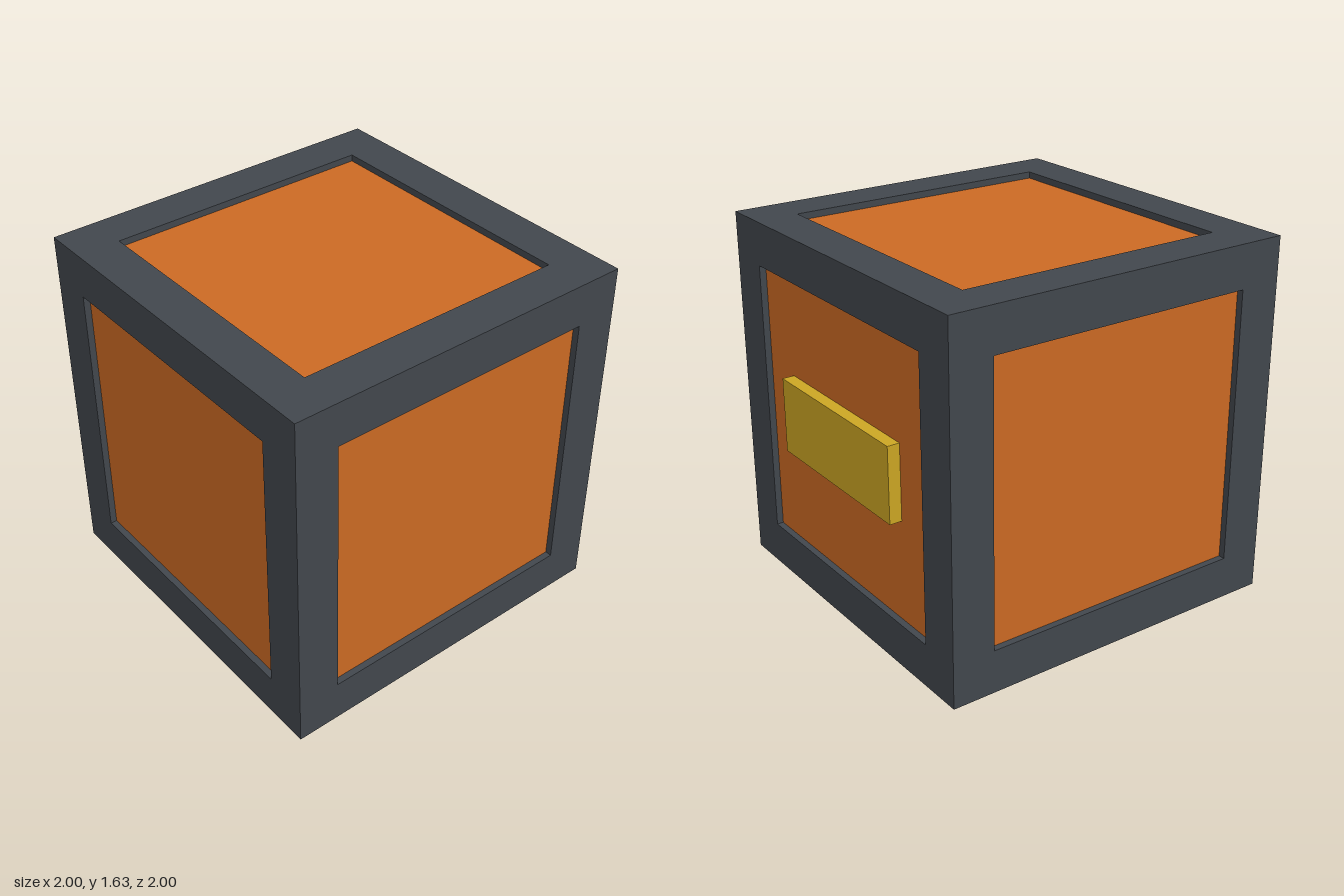
import * as THREE from 'three';
import { mergeGeometries } from 'three/addons/utils/BufferGeometryUtils.js';

const SIZE = 1.633;    // edge of the crate
const OPEN = 1.243;    // edge of each framed opening
const RECESS = 0.03;   // depth of the panels behind the frame

function squarePath(target, size) {
  const h = size / 2;
  return target.moveTo(-h, -h).lineTo(h, -h).lineTo(h, h).lineTo(-h, h).closePath();
}

// One side of the frame, facing +z: a flat border and the four walls of its recess
function frameSide() {
  const border = squarePath(new THREE.Shape(), SIZE);
  border.holes.push(squarePath(new THREE.Path(), OPEN));
  const parts = [new THREE.ShapeGeometry(border).translate(0, 0, SIZE / 2)];
  for (let k = 0; k < 4; k++) {
    parts.push(new THREE.PlaneGeometry(OPEN, RECESS)
      .rotateX(Math.PI / 2)
      .translate(0, OPEN / 2, SIZE / 2 - RECESS / 2)
      .rotateZ(k * Math.PI / 2));
  }
  return mergeGeometries(parts);
}

export function createModel() {
  const frameMat = new THREE.MeshStandardMaterial({ name: 'dark grey frame', color: 0x42474d });
  const panelMat = new THREE.MeshStandardMaterial({ name: 'orange panel', color: 0xcc6a24 });
  const plateMat = new THREE.MeshStandardMaterial({ name: 'yellow plate', color: 0xcca624 });

  const model = new THREE.Group();
  model.name = 'crate';

  // The crate stands on the ground, turned 15 degrees
  const crate = new THREE.Group();
  crate.name = 'crateBody';
  crate.position.y = SIZE / 2;
  crate.rotation.y = THREE.MathUtils.degToRad(15);
  model.add(crate);

  function add(name, geometry, material) {
    const mesh = new THREE.Mesh(geometry, material);
    mesh.name = name;
    crate.add(mesh);
    return mesh;
  }

  // Frame on all six sides, with a recessed panel in each
  const h = Math.PI / 2;
  const sides = {
    front: [0, 0], left: [0, h], back: [0, 2 * h], right: [0, -h],
    top: [-h, 0], bottom: [h, 0],
  };
  const side = frameSide();
  const panel = new THREE.PlaneGeometry(OPEN, OPEN).translate(0, 0, SIZE / 2 - RECESS);
  for (const [name, [rx, ry]] of Object.entries(sides)) {
    add(name + 'Frame', side, frameMat).rotation.set(rx, ry, 0);
    add(name + 'Panel', panel, panelMat).rotation.set(rx, ry, 0);
  }

  // Raised plate on the left (+x) panel
  const thick = 0.055;
  add('labelPlate', new THREE.BoxGeometry(thick, 0.34, 0.845), plateMat)
    .position.set(SIZE / 2 - RECESS + thick / 2, 0.005, 0);

  return model;
}
